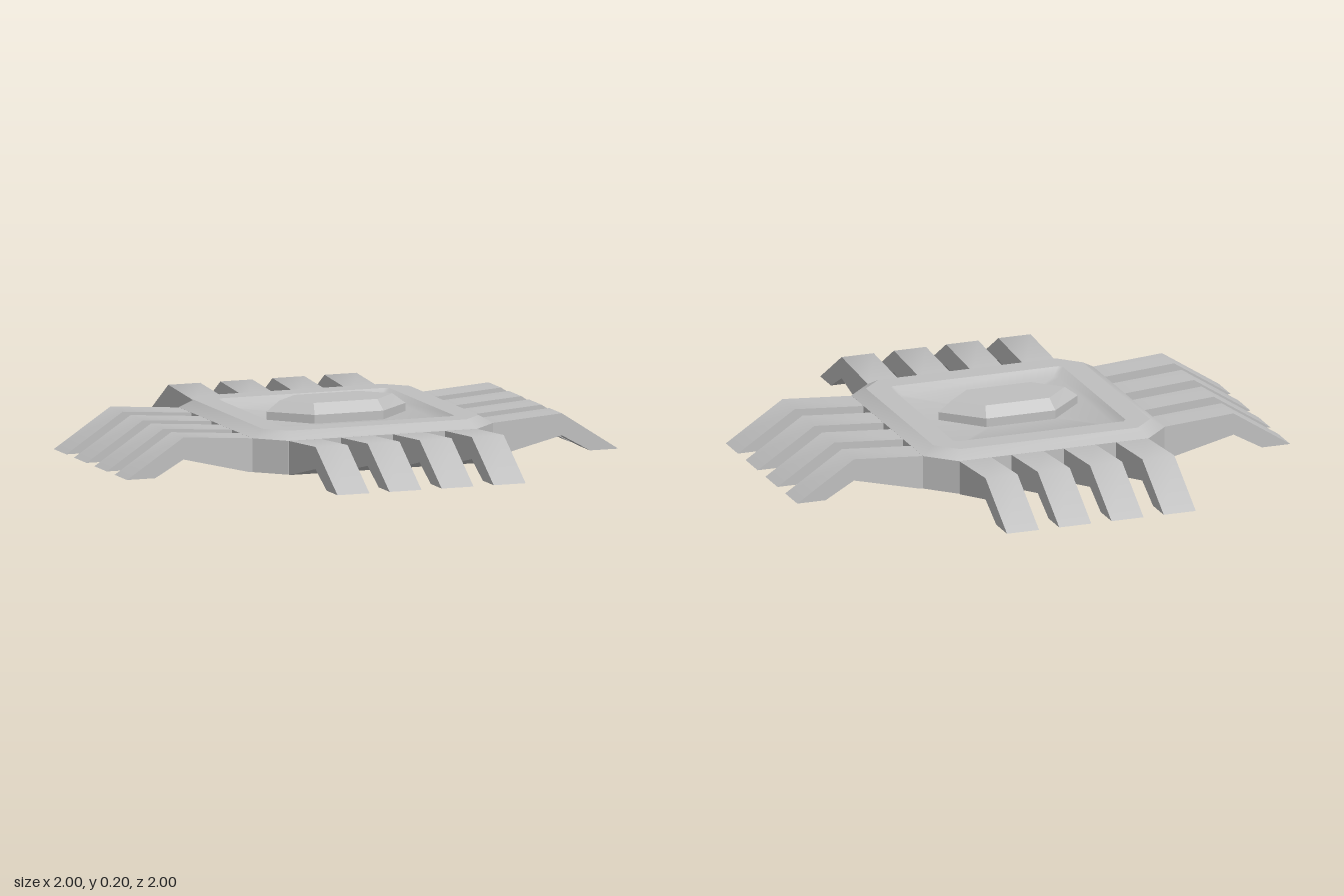
import * as THREE from 'three';
import { toCreasedNormals } from 'three/addons/utils/BufferGeometryUtils.js';

// Square ring with cut corners, counter-clockwise seen from above
function octagon(half, cut, y) {
  return [[half, cut], [half, -cut], [cut, -half], [-cut, -half],
    [-half, -cut], [-half, cut], [-cut, half], [cut, half]].map(([x, z]) => [x, y, z]);
}

// Pointed hexagon ring in the same order
function hexagon(tip, shoulder, depth, y) {
  return [[tip, 0], [shoulder, -depth], [-shoulder, -depth],
    [-tip, 0], [-shoulder, depth], [shoulder, depth]].map(([x, z]) => [x, y, z]);
}

// Skin a list of rings, optionally closing the first and last
function loft(rings, crease, capStart, capEnd) {
  const pos = [];
  const tri = (a, b, c) => pos.push(...a, ...b, ...c);
  for (let r = 0; r < rings.length - 1; r++) {
    const a = rings[r], b = rings[r + 1];
    a.forEach((p, i) => {
      const j = (i + 1) % a.length;
      tri(p, a[j], b[j]);
      tri(p, b[j], b[i]);
    });
  }
  const first = rings[0], last = rings[rings.length - 1];
  for (let i = 1; i < first.length - 1; i++) {
    if (capStart) tri(first[0], first[i + 1], first[i]);
    if (capEnd) tri(last[0], last[i], last[i + 1]);
  }
  const g = new THREE.BufferGeometry();
  g.setAttribute('position', new THREE.Float32BufferAttribute(pos, 3));
  return toCreasedNormals(g, crease);
}

export function createModel() {
  const model = new THREE.Group();
  const grey = new THREE.MeshStandardMaterial({ color: 0xbfbfbf });
  grey.name = 'grey';
  const add = (name, geometry, parent = model) => {
    const mesh = new THREE.Mesh(geometry, grey);
    mesh.name = name;
    parent.add(mesh);
    return mesh;
  };

  // Body with bevelled top edge and flat rim
  add('body', loft([
    octagon(0.49, 0.385, 0), octagon(0.49, 0.385, 0.13),
    octagon(0.44, 0.36, 0.16), octagon(0.35, 0.335, 0.16),
  ], 0.4, true, false));

  // Shallow recess inside the rim
  add('recess', loft([
    octagon(0.35, 0.335, 0.16), octagon(0.32, 0.305, 0.13), octagon(0.08, 0.06, 0.125),
  ], 1.2, false, true));

  // Raised bevelled hexagon in the middle
  add('centreStud', loft([
    hexagon(0.283, 0.14, 0.137, 0.12), hexagon(0.283, 0.14, 0.137, 0.16),
    hexagon(0.23, 0.13, 0.1, 0.2),
  ], 0.4, false, true));

  // Bent leg profile, extruded sideways
  const width = 0.13;
  const profile = new THREE.Shape([[0.48, 0], [0.5, 0], [0.77, 0.065], [0.885, 0],
    [1, 0], [0.77, 0.15], [0.48, 0.129]].map(([x, y]) => new THREE.Vector2(x, y)));
  const legGeometry = toCreasedNormals(
    new THREE.ExtrudeGeometry(profile, { depth: width, bevelEnabled: false })
      .translate(0, 0, -width / 2), 0.8);

  // Four legs on each of the four sides
  ['left', 'back', 'right', 'front'].forEach((side, s) => {
    const row = new THREE.Group();
    row.name = side + 'Legs';
    row.rotation.y = s * Math.PI / 2;
    for (const z of [-0.318, -0.106, 0.106, 0.318]) {
      add('leg', legGeometry, row).position.z = z;
    }
    model.add(row);
  });

  return model;
}
